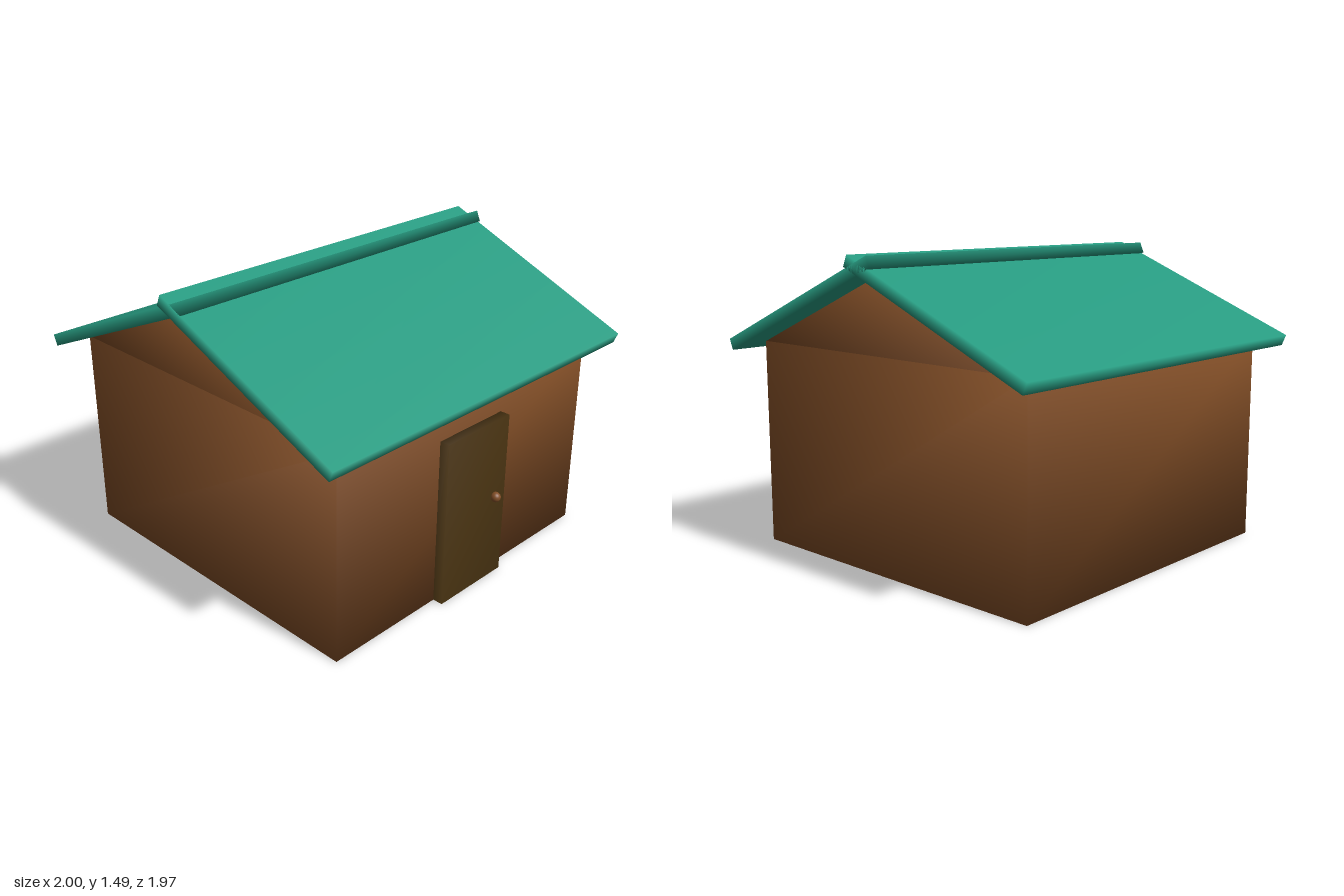
import * as THREE from 'three';
import { mergeVertices } from 'three/addons/utils/BufferGeometryUtils.js';

// Share the corners so that normals blend softly over the edges
function soften(geometry) {
  geometry.deleteAttribute('uv');
  geometry.deleteAttribute('normal');
  const merged = mergeVertices(geometry, 1e-4);
  merged.clearGroups();
  merged.computeVertexNormals();
  return merged;
}

function material(name, color) {
  const m = new THREE.MeshStandardMaterial({ color });
  m.name = name;
  return m;
}

export function createModel() {
  const house = new THREE.Group();
  house.name = 'house';
  const wood = material('brown wood', 0x804d26);
  const darkWood = material('dark wood', 0x4a3412);
  const green = material('green roofing', 0x279a80);

  function add(name, geometry, mat, x, y, z) {
    const mesh = new THREE.Mesh(geometry, mat);
    mesh.name = name;
    mesh.position.set(x, y, z);
    house.add(mesh);
    return mesh;
  }
  const box = (w, h, d) => soften(new THREE.BoxGeometry(w, h, d));

  // Walls
  add('walls', box(1.734, 1.03, 1.744), wood, 0, 0.515, 0);

  // Gable prism, running along x under the roof
  const triangle = new THREE.Shape([
    new THREE.Vector2(-0.872, 0),
    new THREE.Vector2(0.872, 0),
    new THREE.Vector2(0, 0.372),
  ]);
  const prism = new THREE.ExtrudeGeometry(triangle, { depth: 1.734, bevelEnabled: false });
  prism.translate(0, 0, -0.867).rotateY(Math.PI / 2);
  add('gable', soften(prism), wood, 0, 1.03, 0);

  // Two roof slabs that cross at the ridge
  for (const [name, side] of [['frontRoof', 1], ['backRoof', -1]]) {
    const slab = add(name, box(2, 0.058, 1.142), green, 0, 1.239, side * 0.45);
    slab.rotation.x = side * 0.401;
  }

  // Door and knob
  add('door', box(0.435, 0.843, 0.1), darkWood, -0.002, 0.4215, 0.873);
  add('doorKnob', new THREE.SphereGeometry(0.025, 24, 16), wood, 0.135, 0.44, 0.934);

  return house;
}
